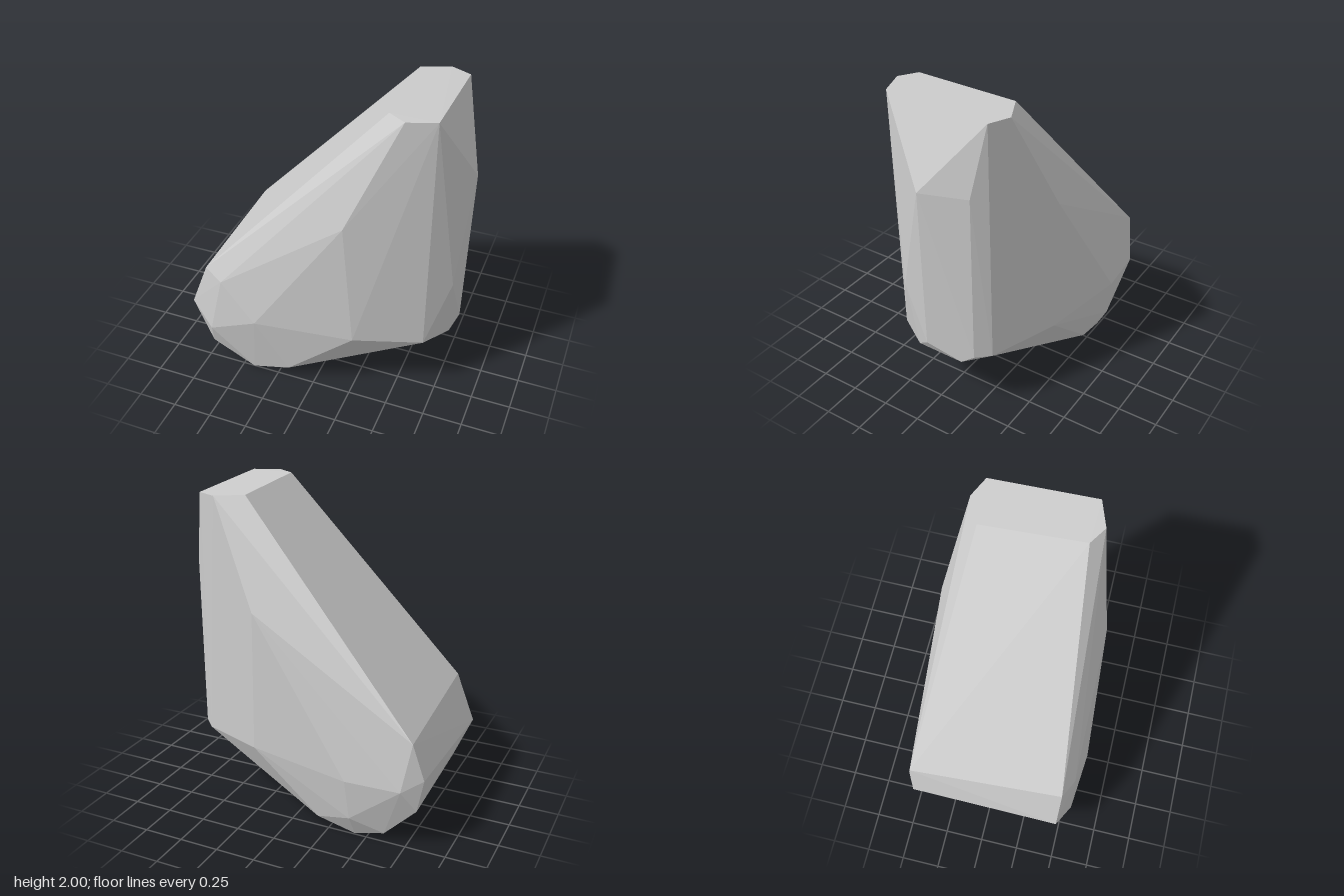
import * as THREE from 'three';
import { ConvexGeometry } from 'three/addons/geometries/ConvexGeometry.js';

// Corners of the faceted boulder, grouped by region
const corners = {
  peak: [
    [0.40, 2, 0.32], [0.51, 2, 0.39], [0.68, 2, 0.33],
    [0.68, 1.97, -0.33], [0.55, 1.97, -0.39], [0.38, 1.975, -0.31],
  ],
  steepEnd: [
    [0.85, 1.53, 0.025], [0.755, 1.53, -0.26], [0.80, 0.83, 0.19],
    [0.825, 0.47, 0.03], [0.785, 0.395, 0.12], [0.67, 0.415, 0.31],
    [0.77, 0.375, -0.18], [0.75, 0.43, -0.26], [0.67, 0.425, -0.34],
  ],
  frontSide: [
    [0.21, 1.31, 0.52], [0.27, 0.47, 0.505], [-0.36, 0.47, 0.585],
    [-0.60, 0.70, 0.54], [-0.69, 0.30, 0.555],
  ],
  backSide: [
    [0.24, 1.33, -0.52], [0.25, 0.45, -0.52], [-0.39, 0.40, -0.59],
    [-0.41, 0.14, -0.56], [-0.73, 0.39, -0.56],
  ],
  lowEnd: [
    [-0.73, 0.74, 0.48], [-0.85, 0.43, 0.48], [-0.72, 0.13, 0.49],
    [-0.78, 0.69, -0.51], [-0.85, 0.46, -0.49], [-0.81, 0.25, -0.49], [-0.61, 0.05, -0.49],
  ],
  underside: [
    [-0.42, 0.01, 0.51], [-0.17, 0.08, 0.51], [-0.42, 0, -0.49], [-0.18, 0.07, -0.51],
  ],
};

export function createModel() {
  const group = new THREE.Group();
  group.name = 'rock';

  const stone = new THREE.MeshStandardMaterial({ color: 0xcccccc, flatShading: true });
  stone.name = 'stone grey';

  // The boulder is the convex skin around all its corners
  const points = Object.values(corners).flat().map((p) => new THREE.Vector3(...p));
  const boulder = new THREE.Mesh(new ConvexGeometry(points), stone);
  boulder.name = 'boulder';
  group.add(boulder);
  return group;
}
